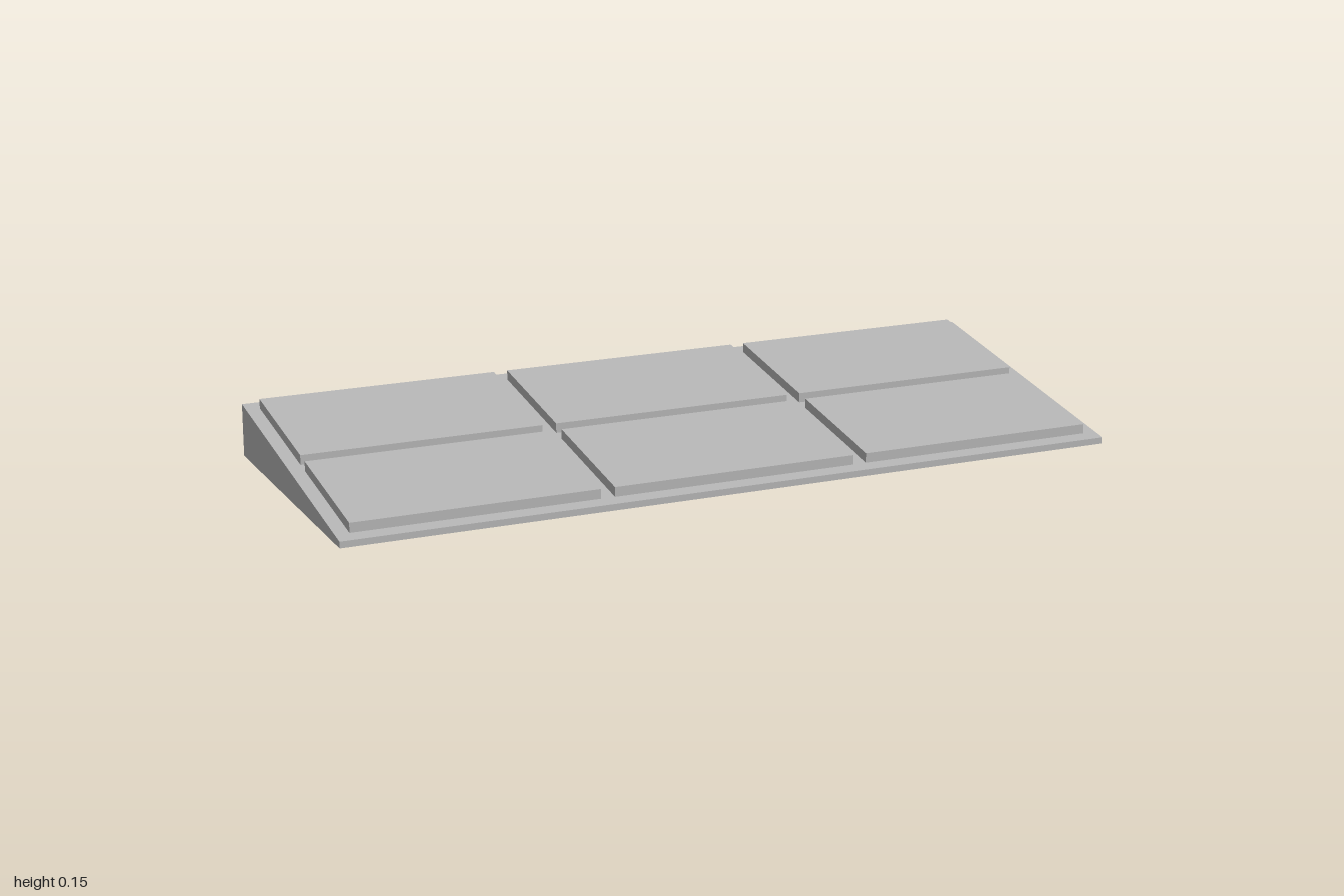
import * as THREE from 'three';

const HALF_DEPTH = 0.388;
const FRONT_Y = 0.016, BACK_Y = 0.133;
const PANEL_THICKNESS = 0.024;

// Height of the sloping deck at depth z
const deckY = (z) => FRONT_Y + (BACK_Y - FRONT_Y) * (HALF_DEPTH - z) / (2 * HALF_DEPTH);

// Side profile given as [z, y] points, extruded from x0 to x1
function prism(profile, x0, x1, material, name) {
  const shape = new THREE.Shape(profile.map(([z, y]) => new THREE.Vector2(-z, y)));
  const geometry = new THREE.ExtrudeGeometry(shape, { depth: x1 - x0, bevelEnabled: false });
  geometry.rotateY(Math.PI / 2);
  geometry.translate(x0, 0, 0);
  const mesh = new THREE.Mesh(geometry, material);
  mesh.name = name;
  return mesh;
}

export function createModel() {
  const model = new THREE.Group();
  model.name = 'slopedPanelRoof';
  const grey = new THREE.MeshStandardMaterial({ color: 0xb4b4b4 });
  grey.name = 'light grey';

  // Wedge base with a thin front lip
  model.add(prism([
    [HALF_DEPTH, 0], [-HALF_DEPTH, 0], [-HALF_DEPTH, BACK_Y], [HALF_DEPTH, FRONT_Y],
  ], -1, 1, grey, 'wedgeBase'));

  // Two rows of three raised panels following the slope
  const panels = new THREE.Group();
  panels.name = 'panels';
  const columns = [[-0.965, -0.35], [-0.314, 0.314], [0.35, 0.965]];
  const rows = [[0.353, 0.018], [-0.017, -0.352]];
  rows.forEach(([front, back], r) => {
    columns.forEach(([x0, x1], c) => {
      panels.add(prism([
        [front, deckY(front)], [back, deckY(back)],
        [back, deckY(back) + PANEL_THICKNESS], [front, deckY(front) + PANEL_THICKNESS],
      ], x0, x1, grey, `${r ? 'back' : 'front'}Panel${c + 1}`));
    });
  });
  model.add(panels);
  return model;
}
